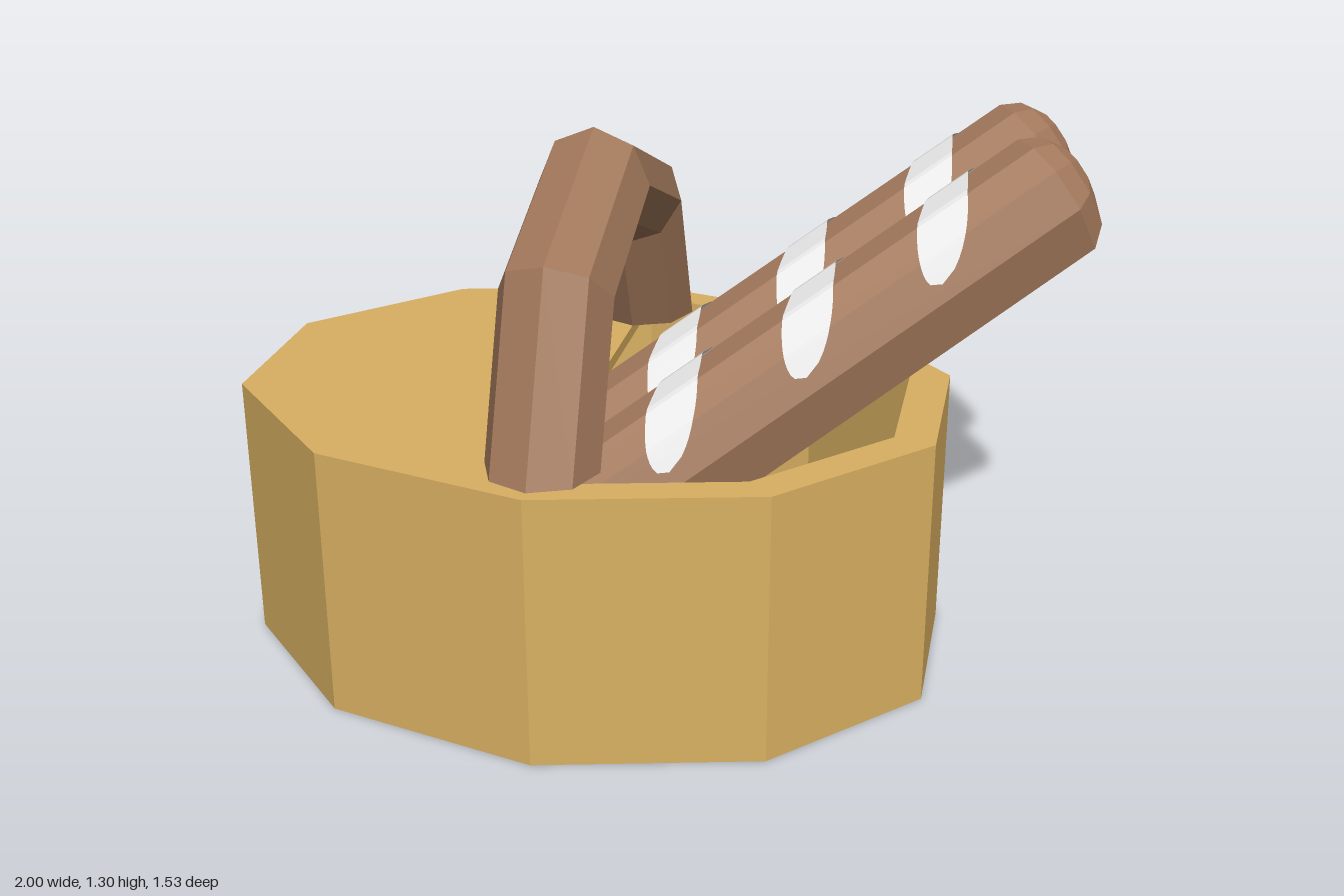
import * as THREE from 'three';

const tan = new THREE.MeshStandardMaterial({ color: 0xd9b062, name: 'wicker tan' });
const brown = new THREE.MeshStandardMaterial({ color: 0xa1775a, name: 'crust brown' });
const white = new THREE.MeshStandardMaterial({ color: 0xe8e8e8, name: 'flour white', side: THREE.DoubleSide });
brown.flatShading = true;

const CX = -0.165, CZ = 0.1, RIM = 0.667;

function addMesh(parent, name, geometry, material) {
  const mesh = new THREE.Mesh(geometry, material);
  mesh.name = name;
  parent.add(mesh);
  return mesh;
}

// Corners of the oval ten-sided outline, starting at the back; six give the left-hand half
function outline(scale, count = 10) {
  return Array.from({ length: count }, (_, i) => {
    const a = Math.PI / 2 + i * Math.PI / 5;
    return new THREE.Vector2(0.878 * scale * Math.cos(a), 0.665 * scale * Math.sin(a));
  });
}

// Upright slab from a floor-plan shape
function slab(shape, y, height) {
  const g = new THREE.ExtrudeGeometry(shape, { depth: height, bevelEnabled: false });
  return g.rotateX(-Math.PI / 2).translate(CX, y, CZ);
}

function flatGeometry(positions) {
  const g = new THREE.BufferGeometry();
  g.setAttribute('position', new THREE.Float32BufferAttribute(positions, 3));
  g.computeVertexNormals();
  return g;
}

// Loaf: flat-bottomed section swept along z with tapered ends
function loafGeometry() {
  const half = [[0.13, -0.15], [0.155, -0.02], [0.115, 0.08], [0.04, 0.125]];
  const section = [...half, ...half.map(([x, y]) => [-x, y]).reverse()];
  const stations = [[-1.68, 0.45], [-1.65, 0.8], [-1.6, 1], [0, 1], [0.05, 0.8], [0.08, 0.45]];
  const rings = stations.map(([z, s]) => section.map(([x, y]) => [x * s, y * s, z]));
  const n = section.length, pos = [];
  for (let r = 0; r < rings.length - 1; r++) {
    for (let i = 0; i < n; i++) {
      const j = (i + 1) % n;
      const a = rings[r][i], b = rings[r][j], c = rings[r + 1][j], d = rings[r + 1][i];
      pos.push(...a, ...b, ...c, ...a, ...c, ...d);
    }
  }
  const first = rings[0], last = rings[rings.length - 1];
  for (let i = 0; i < n; i++) {
    const j = (i + 1) % n;
    pos.push(0, 0, last[0][2], ...last[i], ...last[j]);
    pos.push(0, 0, first[0][2], ...first[j], ...first[i]);
  }
  return flatGeometry(pos);
}

// Flour slash: a slanted teardrop strip wrapped over the crust
function slashGeometry(z) {
  const path = new THREE.CurvePath();
  const pts = [[0.14, 0.03], [0.115, 0.08], [0.04, 0.125], [-0.04, 0.125], [-0.115, 0.08], [-0.145, 0.02]]
    .map(([x, y]) => new THREE.Vector3(x * 1.035, y * 1.035 + 0.002, 0));
  for (let i = 0; i < pts.length - 1; i++) path.add(new THREE.LineCurve3(pts[i], pts[i + 1]));
  const steps = 28, pos = [];
  const edge = (k) => {
    const t = k / steps, p = path.getPoint(t);
    const mid = z + 0.13 - 0.27 * t;
    const w = (0.045 + 0.05 * t) * Math.sqrt(Math.max(0, 1 - (2 * t - 1) ** 2));
    return [[p.x, p.y, mid - w], [p.x, p.y, mid + w]];
  };
  for (let k = 0; k < steps; k++) {
    const [a, b] = edge(k), [d, c] = edge(k + 1);
    pos.push(...a, ...b, ...c, ...a, ...c, ...d);
  }
  return flatGeometry(pos);
}

export function createModel() {
  const model = new THREE.Group();
  model.name = 'picnicBasket';

  // Basket: wall ring, floor and a flush lid over one half
  const basket = new THREE.Group();
  basket.name = 'basket';
  model.add(basket);
  const wall = new THREE.Shape(outline(1));
  wall.holes.push(new THREE.Path(outline(0.885).reverse()));
  addMesh(basket, 'basketWall', slab(wall, 0, RIM), tan);
  addMesh(basket, 'basketFloor', slab(new THREE.Shape(outline(0.885)), 0, 0.05), tan);
  addMesh(basket, 'lid', slab(new THREE.Shape(outline(0.885, 6)), RIM - 0.03, 0.03), tan);

  // Handle: faceted half ring with closed feet
  const handle = new THREE.Group();
  handle.name = 'handle';
  handle.position.set(CX, RIM, CZ);
  model.add(handle);
  addMesh(handle, 'handleArch', new THREE.TorusGeometry(0.5, 0.132, 8, 4, Math.PI).rotateY(Math.PI / 2), brown);
  for (const side of [-1, 1]) {
    const foot = new THREE.CircleGeometry(0.132, 8).rotateX(Math.PI / 2);
    addMesh(handle, 'handleFoot', foot, brown).position.z = side * 0.5;
  }

  // Two loaves leaning out of the open half
  const across = new THREE.Vector3(-0.5, 0, -0.866);
  const up = new THREE.Vector3(-0.433, 0.866, 0.25);
  const along = new THREE.Vector3(0.75, 0.5, -0.433);
  const tilt = new THREE.Matrix4().makeBasis(across, up, along);
  const loafShape = loafGeometry();
  for (const [x, y, z] of [[0.86, 1.1, -0.32], [0.8, 1.107, -0.61]]) {
    const loaf = new THREE.Group();
    loaf.name = 'loaf';
    loaf.quaternion.setFromRotationMatrix(tilt);
    loaf.position.set(x, y, z);
    addMesh(loaf, 'crust', loafShape, brown);
    for (let i = 0; i < 3; i++) addMesh(loaf, 'flourSlash', slashGeometry(-0.235 - i * 0.39), white);
    model.add(loaf);
  }
  return model;
}
